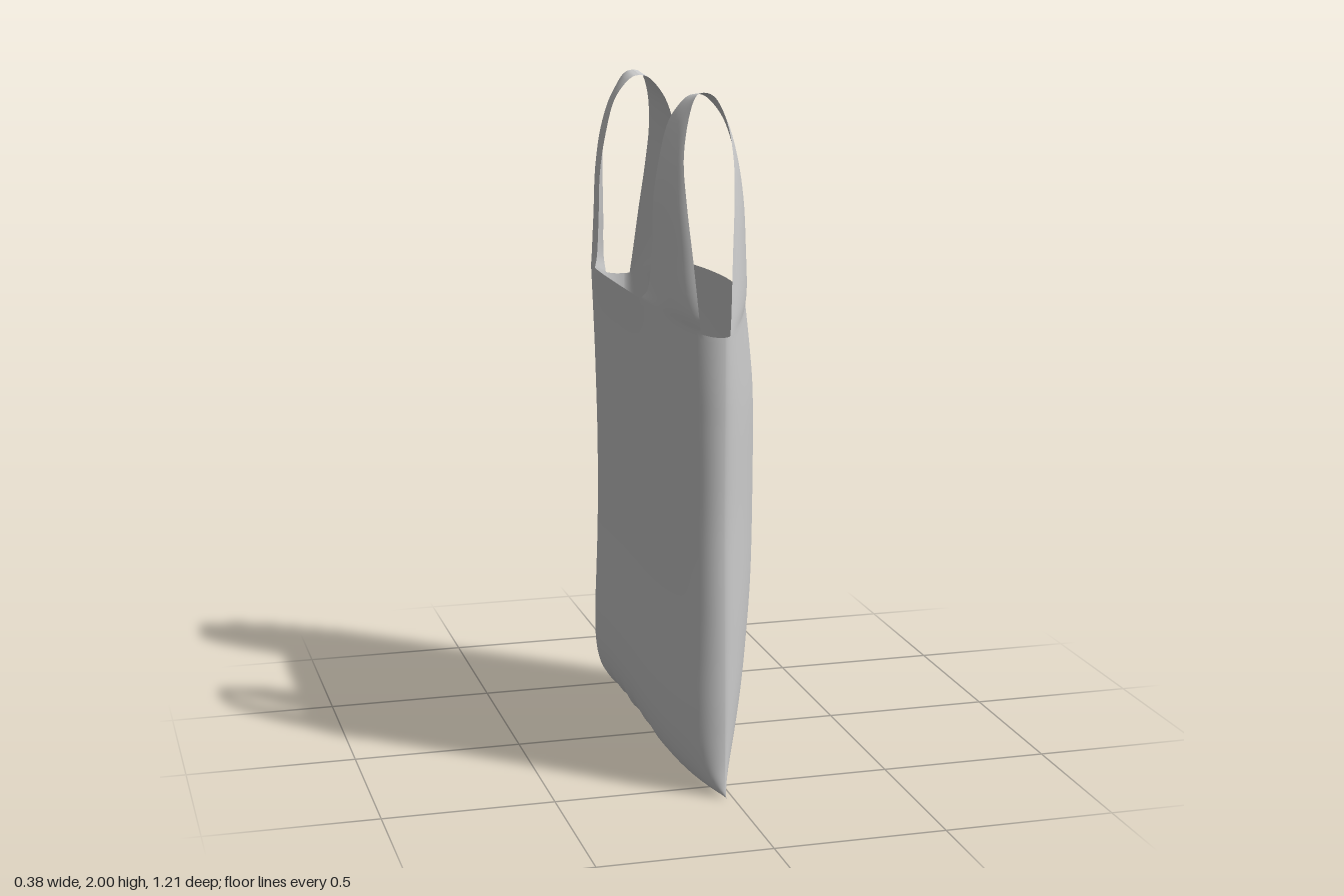
import * as THREE from 'three';
import { mergeGeometries, mergeVertices } from 'three/addons/utils/BufferGeometryUtils.js';

const N = 40, INNER = 13;            // columns per quarter; column where a handle starts
const ROWS = 66, H_ROWS = 40;
const SEAM_X = -0.02;
const outerCol = sx => (sx > 0 ? 36 : 33);   // column where a handle ends at the gusset

// height fraction, half depth, bulge to +x, bulge to -x
const SECTIONS = [
  [0, 0.605, 0, 0], [0.01, 0.601, 0.022, 0.062], [0.03, 0.595, 0.052, 0.108], [0.065, 0.589, 0.09, 0.142],
  [0.12, 0.586, 0.128, 0.159], [0.2, 0.584, 0.16, 0.161], [0.3, 0.58, 0.183, 0.156], [0.42, 0.576, 0.2, 0.151],
  [0.6, 0.57, 0.207, 0.151], [0.78, 0.572, 0.206, 0.157], [0.88, 0.574, 0.194, 0.162], [1, 0.574, 0.17, 0.17],
];
const heightDepth = new THREE.SplineCurve(SECTIONS.map(s => new THREE.Vector2(s[0], s[1])));
const bulges = new THREE.SplineCurve(SECTIONS.map(s => new THREE.Vector2(s[2], s[3])));

// one point of the quarter body: sx, sz pick the quarter, t runs up, i runs from the middle to the gusset
function bodyPoint(sx, sz, t, i) {
  const s = i === N ? 1 : Math.sin(i / N * Math.PI / 2);
  const hd = heightDepth.getPoint(t), b = bulges.getPoint(t);
  // rounded belly on +x, flatter panel on -x
  const round = sx > 0 ? Math.pow(1 - Math.pow(s, 1.8), 0.6) : Math.sqrt(1 - Math.pow(s, 4));
  const z = sz * hd.y * s;
  const rim = 1.41 - 0.07 * THREE.MathUtils.smoothstep(i, INNER, N - 1);
  const seam = 0.05 * (1 - THREE.MathUtils.clamp((s - 0.25) / 0.75, 0, 1));
  const y = seam + hd.x * (rim - seam);
  // faint gathers just above the middle of the bottom seam
  const pucker = 0.005 * Math.sin(z * 42 + 0.6) * Math.exp(-Math.pow((y - 0.1) / 0.04, 2) - Math.pow(z / 0.25, 2))
    * Math.min(1, t * 15);
  const x = SEAM_X + sx * ((sx > 0 ? b.x : b.y) * round + pucker);
  return new THREE.Vector3(x, y, z);
}

// grid of points to a surface whose front faces outward
function sheet(rows, cols, point, flip) {
  const pos = [], idx = [];
  for (let r = 0; r <= rows; r++)
    for (let c = 0; c <= cols; c++) pos.push(...point(r / rows, c).toArray());
  for (let r = 0; r < rows; r++)
    for (let c = 0; c < cols; c++) {
      const a = r * (cols + 1) + c, b = a + 1, d = a + cols + 1, e = d + 1;
      if (flip) idx.push(a, d, b, b, d, e);
      else idx.push(a, b, d, b, e, d);
    }
  const g = new THREE.BufferGeometry();
  g.setAttribute('position', new THREE.Float32BufferAttribute(pos, 3));
  g.setIndex(idx);
  return g;
}

// handle edges above the rim: y, z of front handle, z of back handle, x on the +x strap, x on the -x strap
const INNER_EDGE = [
  [1.44, 0.315, 0.3, 0.116, -0.174], [1.55, 0.332, 0.308, 0.108, -0.166], [1.7, 0.328, 0.31, 0.1, -0.16],
  [1.82, 0.32, 0.313, 0.08, -0.14], [1.92, 0.312, 0.319, 0.048, -0.11], [1.972, 0.307, 0.324, 0.01, -0.07],
  [1.986, 0.306, 0.325, -0.01, -0.05], [1.99, 0.306, 0.326, -0.03, -0.03],
];
const OUTER_EDGE = [
  [1.4, 0.556, 0.556, 0.003, -0.09], [1.55, 0.524, 0.526, 0.016, -0.098], [1.7, 0.49, 0.494, 0.03, -0.107],
  [1.82, 0.46, 0.468, 0.036, -0.108], [1.92, 0.43, 0.444, 0.026, -0.088], [1.98, 0.406, 0.42, 0.004, -0.064],
  [1.996, 0.393, 0.41, -0.012, -0.048], [2.0, 0.388, 0.406, -0.03, -0.03],
];

// one strap, rising from the body rim to the top of the arch
function strap(sx, sz) {
  const cols = outerCol(sx) - INNER;
  const base = c => bodyPoint(sx, sz, 1, INNER + c);
  const edge = (start, list) => new THREE.CatmullRomCurve3([start, ...list.map(([y, zFront, zBack, xPlus, xMinus]) =>
    new THREE.Vector3(sx > 0 ? xPlus : xMinus, y, sz > 0 ? zFront : -zBack))], false, 'centripetal');
  const b0 = base(0), b1 = base(cols);
  const inner = edge(b0, INNER_EDGE), outer = edge(b1, OUTER_EDGE);
  return sheet(H_ROWS, cols, (t, c) => {
    const s = c / cols;
    const bow = base(c).sub(b0.clone().lerp(b1, s)).multiplyScalar(1 - THREE.MathUtils.smoothstep(t, 0, 1));
    return inner.getPoint(t).lerp(outer.getPoint(t), s).add(bow);
  }, sx * sz > 0);
}

export function createModel() {
  const bag = new THREE.Group();
  bag.name = 'carrierBag';

  // four quarters of the pillow-shaped body, each with the strap that grows out of it
  const parts = [];
  for (const sx of [1, -1])
    for (const sz of [1, -1])
      parts.push(sheet(ROWS, N, (t, i) => bodyPoint(sx, sz, t, i), sx * sz > 0), strap(sx, sz));

  // weld into one seamless sheet of film
  const geometry = mergeVertices(mergeGeometries(parts), 1e-4);
  geometry.computeVertexNormals();
  const film = new THREE.MeshStandardMaterial({ color: 0xcccccc, side: THREE.DoubleSide });
  const skin = new THREE.Mesh(geometry, film);
  skin.name = 'bodyWithHandles';
  bag.add(skin);
  return bag;
}
